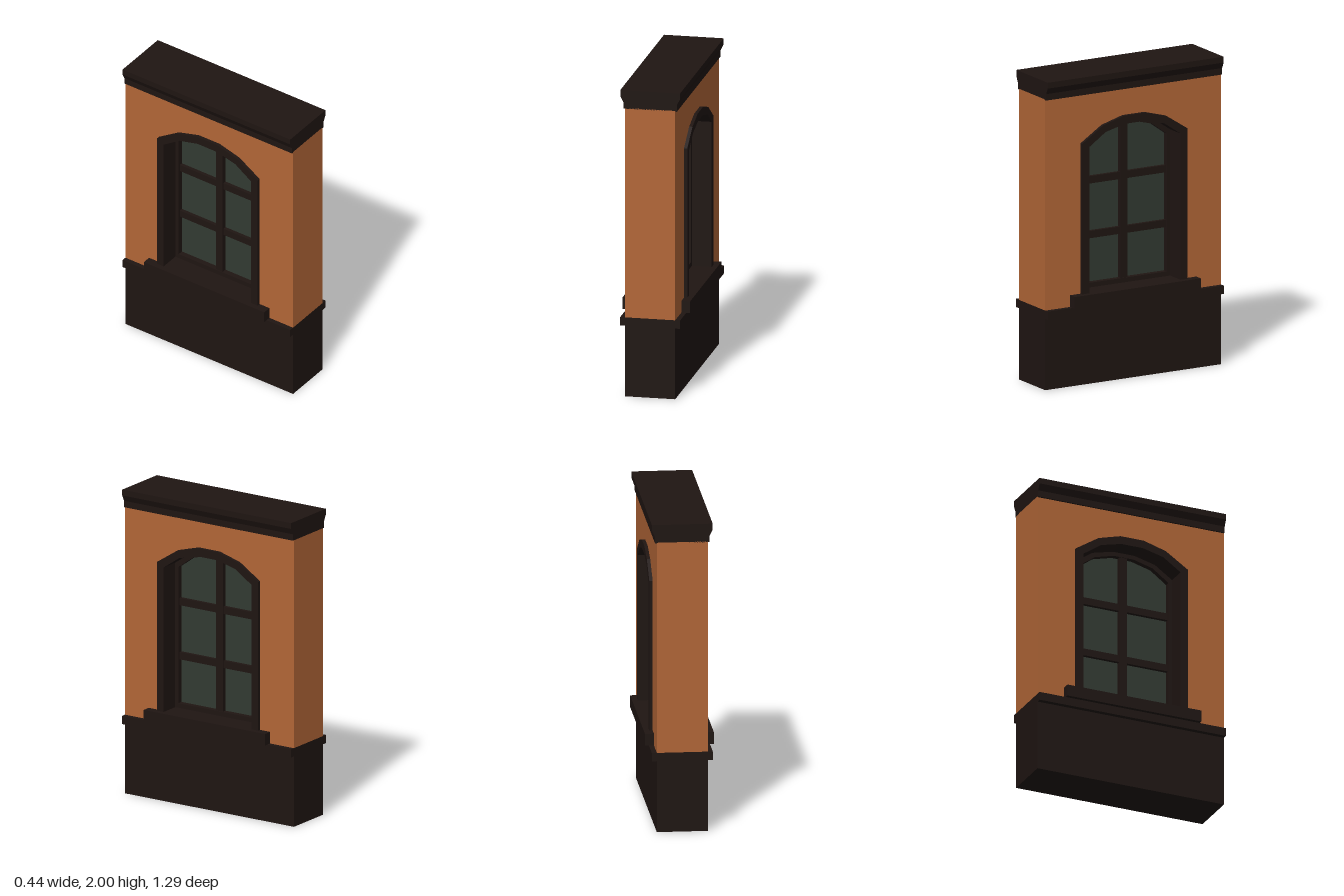
import * as THREE from 'three';

const dark = new THREE.MeshStandardMaterial({ color: 0x1f1512, flatShading: true });
const plaster = new THREE.MeshStandardMaterial({ color: 0xb26637, flatShading: true });
const glass = new THREE.MeshStandardMaterial({ color: 0x323a32, flatShading: true });

// Right half of each faceted arch: springing point up to the crown
const OUTER = [[0.387, 1.567], [0.233, 1.667], [0.08, 1.71]];
const OPENING = [[0.335, 1.54], [0.215, 1.622], [0.074, 1.657]];
const PANE = [[0.31, 1.515], [0.2, 1.595], [0.068, 1.63]];

export function createModel() {
  const group = new THREE.Group();

  function add(name, geometry, material) {
    const mesh = new THREE.Mesh(geometry, material);
    mesh.name = name;
    group.add(mesh);
  }

  // Box centred on x and z = cz, between two heights
  function box(name, w, y0, y1, d, material = dark, cz = 0) {
    const g = new THREE.BoxGeometry(w, y1 - y0, d);
    g.translate(0, (y0 + y1) / 2, cz);
    add(name, g, material);
  }

  // Outline of an arched opening, counterclockwise from bottom right
  function arch(half, bottom) {
    const w = half[0][0];
    const left = half.map(([a, b]) => [-a, b]).reverse();
    return [[w, bottom], ...half, ...left, [-w, bottom]].map(([a, b]) => new THREE.Vector2(a, b));
  }

  // Extrude an outline in the z-y plane through the wall thickness
  function throughWall(name, points, holes, thickness, material) {
    const shape = new THREE.Shape(points);
    holes.forEach((h) => shape.holes.push(new THREE.Path(h)));
    const g = new THREE.ExtrudeGeometry(shape, { depth: thickness, bevelEnabled: false });
    g.translate(0, 0, -thickness / 2);
    g.rotateY(Math.PI / 2);
    add(name, g, material);
  }

  // Plinth, ledge and sill
  box('plinth', 0.322, 0, 0.47, 1.29);
  box('plinthLedge', 0.385, 0.462, 0.516, 1.29);
  box('windowSill', 0.435, 0.516, 0.592, 0.926);

  // Wall notched around the arched window
  const wall = [[-0.645, 0.516], [-0.38, 0.516], ...arch(OUTER, 0.516).reverse().slice(1, -1)
    .map((p) => [p.x * 0.985, p.y - 0.005]), [0.38, 0.516], [0.645, 0.516], [0.645, 1.885], [-0.645, 1.885]];
  throughWall('wall', wall.map(([a, b]) => new THREE.Vector2(a, b)), [], 0.322, plaster);

  // Arched surround lining the whole opening
  const surround = [...arch(OUTER, 0.58), ...arch(OPENING, 0.58).reverse()];
  throughWall('windowSurround', surround, [], 0.365, dark);

  // Sash frame and glazing
  throughWall('windowFrame', arch(OPENING, 0.58), [arch(PANE, 0.622)], 0.11, dark);
  throughWall('glass', arch(PANE, 0.6), [], 0.04, glass);
  box('mullion', 0.1, 0.6, 1.64, 0.05);
  for (const y of [0.907, 1.262]) box('glazingBar', 0.085, y, y + 0.047, 0.63);

  // Cornice with a flared profile running along the wall
  const side = [[0.172, 1.88], [0.172, 1.922], [0.192, 1.962], [0.192, 2]];
  const profile = [...side, ...side.map(([a, b]) => [-a, b]).reverse()];
  const cornice = new THREE.ExtrudeGeometry(
    new THREE.Shape(profile.map(([a, b]) => new THREE.Vector2(a, b))),
    { depth: 1.29, bevelEnabled: false });
  cornice.translate(0, 0, -0.645);
  add('cornice', cornice, dark);

  return group;
}
